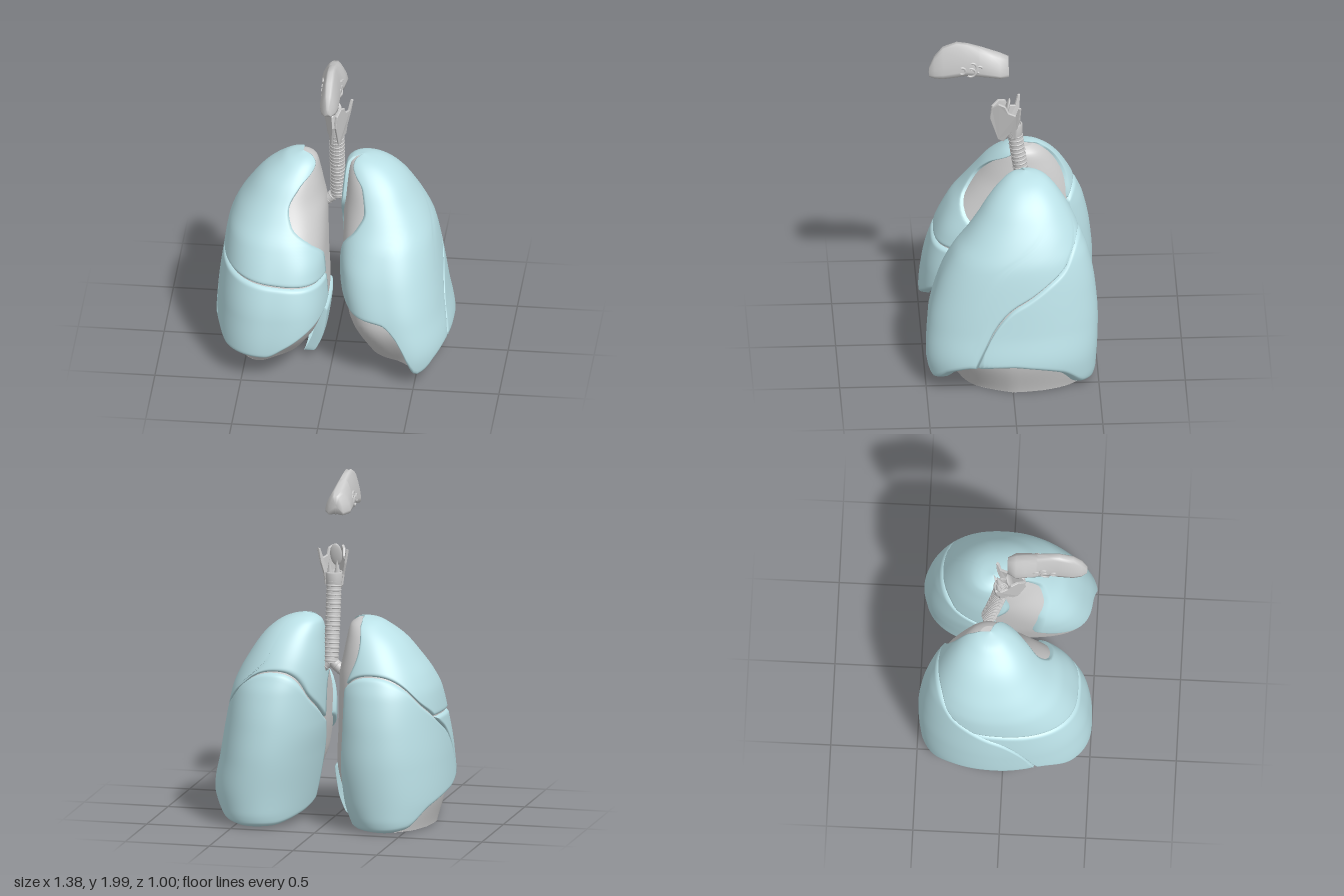
import * as THREE from 'three';

const grey = new THREE.MeshStandardMaterial({ color: 0xcccccc, side: THREE.DoubleSide });
const blue = new THREE.MeshStandardMaterial({ color: 0xbbe1e7, side: THREE.DoubleSide });
const V = (x, y, z) => new THREE.Vector3(x, y, z);
const { lerp, clamp, smoothstep, degToRad } = THREE.MathUtils;

// Smooth, overshoot-free curve through [x, y] points
function curve(p) {
  const n = p.length;
  const s = p.slice(1).map((q, i) => (q[1] - p[i][1]) / (q[0] - p[i][0]));
  const m = p.map((_, i) => i === 0 ? s[0] : i === n - 1 ? s[n - 2]
    : s[i - 1] * s[i] <= 0 ? 0 : 2 * s[i - 1] * s[i] / (s[i - 1] + s[i]));
  return (x) => {
    x = clamp(x, p[0][0], p[n - 1][0]);
    let i = 0;
    while (i < n - 2 && x > p[i + 1][0]) i++;
    const h = p[i + 1][0] - p[i][0], t = (x - p[i][0]) / h, a = t * t * (3 - 2 * t);
    return p[i][1] * (1 - a) + p[i + 1][1] * a
      + h * t * (1 - t) * (m[i] * (1 - t) - m[i + 1] * t);
  };
}

// Skin over rows of points
function loft(name, rows, material, closed) {
  const w = rows[0].length, index = [];
  for (let i = 0; i < rows.length - 1; i++) {
    for (let j = 0; j < (closed ? w : w - 1); j++) {
      const k = (j + 1) % w, a = i * w + j, b = a + w, c = i * w + k, d = c + w;
      index.push(a, b, c, b, d, c);
    }
  }
  const g = new THREE.BufferGeometry().setFromPoints(rows.flat());
  g.setIndex(index);
  g.computeVertexNormals();
  return part(name, g, material);
}

function part(name, geometry, material = grey, x = 0, y = 0, z = 0) {
  const mesh = new THREE.Mesh(geometry, material);
  mesh.name = name;
  mesh.position.set(x, y, z);
  return mesh;
}

const TOP = 1.23;
const front = curve([[0, .46], [.1, .495], [.2, .505], [.4, .485], [.6, .43], [.8, .335], [.9, .26], [1, .19], [1.1, .12], [1.18, .04], [1.215, -.02], [TOP, -.09]]);
const back = curve([[0, -.46], [.1, -.485], [.4, -.5], [.6, -.485], [.8, -.445], [.9, -.405], [1, -.36], [1.1, -.3], [1.18, -.23], [1.215, -.17], [TOP, -.09]]);
// Squareness of the front inner corner by height
const innerCorner = curve([[0, 2.5], [.3, 3.1], [.65, 3.3], [.85, 2.4], [1, 2], [TOP, 2]]);
// Height of the oblique fissure by depth
const oblique = curve([[-.5, 1], [-.4, .93], [-.3, .77], [-.2, .69], [-.1, .62], [0, .56], [.1, .45], [.2, .25], [.3, 0], [.5, -.2]]);
const backHem = [[-205, .3], [-180, .1], [-150, .05], [-120, .02], [-90, .02], [-60, .04], [-35, .15], [-10, .2], [0, .21]];
const backBase = [[-180, .08], [-140, .03], [-90, .02], [35, .015]];

// One lung: grey core wrapped in blue lobes. Angle 0 is lateral, 90 front, 180 medial.
function lung(name, { outer, inner, hem, base, startAngle, endAngle, horizontal }) {
  const group = new THREE.Group();
  group.name = name;
  const point = (y, deg, off) => {
    const t = degToRad(deg), c = Math.cos(t), s = Math.sin(t);
    const rx = Math.max(0, (outer(y) - inner(y)) / 2 + off);
    const rz = Math.max(0, (front(y) - back(y)) / 2 + off);
    const n = s < 0 ? 2.12 : c < 0 ? innerCorner(y) : 2.3;
    const r = (Math.abs(c) ** n + Math.abs(s) ** n) ** (-1 / n);
    return V((outer(y) + inner(y)) / 2 + rx * c * r, y, (front(y) + back(y)) / 2 + rz * s * r);
  };

  // Core with a hollow base
  const angles = Array.from({ length: 72 }, (_, j) => j * 5 - 180);
  const corePoint = (y, a) => point(y, a,
    -.018 - (.04 + .12 * Math.max(0, Math.sin(degToRad(a)))) * (1 - smoothstep(y, 0, .4)));
  const rim = angles.map((a) => corePoint(base(a), a));
  const mid = rim.reduce((s, p) => s.add(p), V(0, 0, 0)).divideScalar(rim.length);
  const rows = [];
  for (let i = 0; i <= 12; i++) {
    const f = i / 12;
    rows.push(rim.map((p) => mid.clone().lerp(p, f).add(V(0, .2 * (1 - f ** 3), 0))));
  }
  for (let i = 1; i <= 50; i++) {
    const t = (1 - Math.cos(i / 50 * Math.PI)) / 2;
    rows.push(angles.map((a) => corePoint(lerp(base(a), 1.217, t), a)));
  }
  rows.push(angles.map((a) => point(1.22, a, -1)));
  group.add(loft('lungCore', rows, grey, true));

  // Lobe between two heights per column, its edges curling into the core
  function lobe(label, from, to, low, high, apex) {
    const N = 48, M = 80, grid = Array.from({ length: N + 1 }, () => []);
    for (let j = 0; j <= M; j++) {
      const s = j / M, deg = (y) => lerp(from(y), to(y), s);
      let a = -.2, b = 1.2;
      for (let k = 0; k < 22; k++) {
        const y = (a + b) / 2;
        if (y > oblique(point(y, deg(y), 0).z)) b = y; else a = y;
      }
      const lo = low(a, deg) - .007;
      const hi = Math.max(lo, apex ? TOP : high(a, deg) + .007);
      for (let i = 0; i <= N; i++) {
        const y = lerp(lo, hi, (1 - Math.cos(i / N * Math.PI)) / 2);
        const d = Math.min(y - lo, apex ? 1 : hi - y, s * 1.8, (1 - s) * 1.8);
        const off = -.06 * (1 - Math.min(1, d / .04)) ** 4;
        grid[i].push(point(y, deg(y), apex && i === N ? -1 : off));
      }
    }
    group.add(loft(label, grid, blue, false));
  }
  const hemAt = (f, deg) => Math.max(f, hem(deg(.2)));
  const split = (f, deg) => horizontal(deg(.63));
  lobe('upperLobe', endAngle, startAngle,
    (f, deg) => Math.max(hemAt(f, deg), horizontal ? split(f, deg) : 0), null, true);
  lobe('lowerLobe', endAngle, () => 48, (f, deg) => hem(deg(.2)), (f) => f, false);
  if (horizontal) {
    lobe('middleLobe', () => -40, startAngle, hemAt, split, false);
    lobe('lowerLobeFlap', () => 155, () => 200, () => .06, () => .36, false);
  }
  return group;
}

function createLungs() {
  const left = lung('leftLung', {
    outer: curve([[0, .66], [.2, .69], [.4, .655], [.6, .62], [.8, .575], [.9, .53], [1, .47], [1.1, .4], [1.18, .31], [1.215, .23], [TOP, .15]]),
    inner: curve([[0, .14], [.2, .1], [.4, .065], [.6, .035], [.9, .025], [1.1, .04], [1.18, .055], [1.215, .09], [TOP, .15]]),
    hem: curve([...backHem, [25, .2], [45, .15], [55, .1], [65, .08], [75, .15], [88, .33], [100, .4], [130, .43], [165, .6]]),
    base: curve([...backBase, [55, .03], [80, .09], [100, .12], [130, .14], [180, .08]]),
    startAngle: curve([[0, 165], [.55, 163], [.78, 150], [.9, 126], [1, 112], [1.1, 113], [1.18, 135], [TOP, 145]]),
    endAngle: curve([[0, -182], [.4, -186], [.6, -178], [.8, -180], [1, -203], [TOP, -203]]),
  });
  const right = lung('rightLung', {
    outer: curve([[0, .66], [.2, .69], [.4, .68], [.65, .65], [.8, .625], [.9, .585], [1, .52], [1.1, .44], [1.18, .34], [1.21, .29], [TOP, .2]]),
    inner: curve([[0, .12], [.2, .04], [.4, .02], [.6, .03], [.9, .04], [1, .06], [1.1, .08], [1.18, .1], [1.215, .14], [TOP, .2]]),
    hem: curve([...backHem, [25, .25], [50, .17], [90, .16], [110, .22], [130, .3], [165, .42]]),
    base: curve([...backBase, [55, .02], [90, .04], [130, .1], [180, .08]]),
    startAngle: curve([[0, 165], [.4, 162], [.7, 155], [.8, 135], [.9, 110], [1, 102], [1.1, 115], [1.18, 150], [TOP, 165]]),
    endAngle: curve([[0, -135], [.8, -132], [1.05, -110], [TOP, -97]]),
    horizontal: curve([[-40, .67], [0, .66], [90, .6], [165, .57]]),
  });
  right.scale.x = -1;
  return [left, right];
}

function createAirway() {
  const group = new THREE.Group();
  group.name = 'airway';
  // Tube with cartilage rings along it
  function ringed(name, points, r, count) {
    const path = new THREE.CatmullRomCurve3(points);
    group.add(part(name, new THREE.TubeGeometry(path, 30, r * .94, 20), grey));
    for (let i = 0; i < count; i++) {
      const t = (i + .5) / count;
      const ring = part(name + 'Ring', new THREE.TorusGeometry(r * .86, r * .15, 8, 24), grey);
      ring.position.copy(path.getPointAt(t));
      ring.lookAt(ring.position.clone().add(path.getTangentAt(t)));
      group.add(ring);
    }
  }
  ringed('trachea', [V(0, 1.42, -.035), V(0, 1.23, -.06), V(0, .94, -.11)], .045, 19);
  for (const s of [1, -1]) ringed('bronchus', [V(0, .96, -.11), V(s * .04, .92, -.11), V(s * .12, .86, -.11)], .033, 5);

  // Larynx: two plates meeting at the front, narrowing downwards, with slim horns
  const plate = new THREE.Shape([[0, 1.5], [.01, 1.57], [.05, 1.6], [.09, 1.59], [.11, 1.55], [.16, 1.54], [.178, 1.6], [.186, 1.6],
    [.18, 1.52], [.16, 1.45], [.16, 1.39], [.145, 1.39], [.13, 1.43], [.08, 1.36], [.05, 1.37]].map((p) => new THREE.Vector2(...p)));
  const plateGeo = new THREE.ExtrudeGeometry(plate, { depth: .01, bevelSize: .003, bevelThickness: .003, bevelSegments: 2 });
  plateGeo.rotateY(Math.atan2(.17, .08));
  const pos = plateGeo.attributes.position;
  for (let i = 0; i < pos.count; i++) pos.setX(i, pos.getX(i) * lerp(.6, 1, clamp((pos.getY(i) - 1.36) / .24, 0, 1)));
  plateGeo.computeVertexNormals();
  for (const s of [1, -1]) {
    const half = new THREE.Group();
    half.name = 'thyroidCartilage';
    half.add(part('thyroidPlate', plateGeo, grey, .003, 0, .1));
    const cone = part('arytenoid', new THREE.ConeGeometry(.018, .09, 10), grey, .022, 1.5, -.055);
    cone.rotation.x = -.15;
    half.add(cone);
    half.scale.x = s;
    group.add(half);
  }
  const cricoid = [[.042, -.04], [.05, -.035], [.052, .03], [.045, .04], [.038, .03], [.036, -.035], [.042, -.04]];
  group.add(part('cricoid', new THREE.LatheGeometry(cricoid.map((p) => new THREE.Vector2(...p)), 28), grey, 0, 1.425, -.03));
  const epiglottis = part('epiglottis', new THREE.SphereGeometry(1, 18, 14), grey, 0, 1.555, .01);
  epiglottis.scale.set(.036, .07, .012);
  epiglottis.rotation.x = -.25;
  group.add(epiglottis);
  return group;
}

function createNose() {
  const group = new THREE.Group();
  group.name = 'nose';
  // Sections: depth, bottom, top, half width
  const sections = [[0, 1.79, 1.9, .045], [.05, 1.795, 1.92, .076], [.1, 1.8, 1.94, .072], [.165, 1.805, 1.965, .066], [.175, 1.805, 1.97, .06],
    [.24, 1.81, 1.99, .056], [.3, 1.8, 2, .055], [.38, 1.79, 1.97, .054], [.43, 1.79, 1.91, .042], [.46, 1.79, 1.84, .018]];
  const half = [[.25, 1], [.46, .9], [.7, .65], [.88, .42], [1, .14], [.95, 0], [.5, .02], [.15, .06]];
  const profile = [[0, .97], ...half, [0, 0], ...half.map(([x, y]) => [-x, y]).reverse()];
  const rows = sections.map(([z, b, t, w]) => profile.map(([x, y]) => V(x * w, lerp(b, t, y), z)));
  rows.unshift(profile.map(() => V(0, 1.84, .005)));
  rows.push(profile.map(() => V(0, 1.81, .462)));
  group.add(loft('nasalCavity', rows, grey, true));
  // Curled ridges on each side
  for (const s of [1, -1]) {
    for (const [y, z, x, r] of [[1.83, .22, .055, .026], [1.865, .21, .05, .022], [1.84, .27, .052, .02], [1.85, .17, .056, .02]]) {
      const ridge = part('nasalRidge', new THREE.TorusGeometry(r, .007, 8, 16, 4.2), grey, s * x, y, z);
      ridge.rotation.set(0, Math.PI / 2, y * 9);
      group.add(ridge);
    }
  }
  return group;
}

export function createModel() {
  const model = new THREE.Group();
  model.name = 'respiratorySystem';
  model.add(...createLungs(), createAirway(), createNose());
  return model;
}
